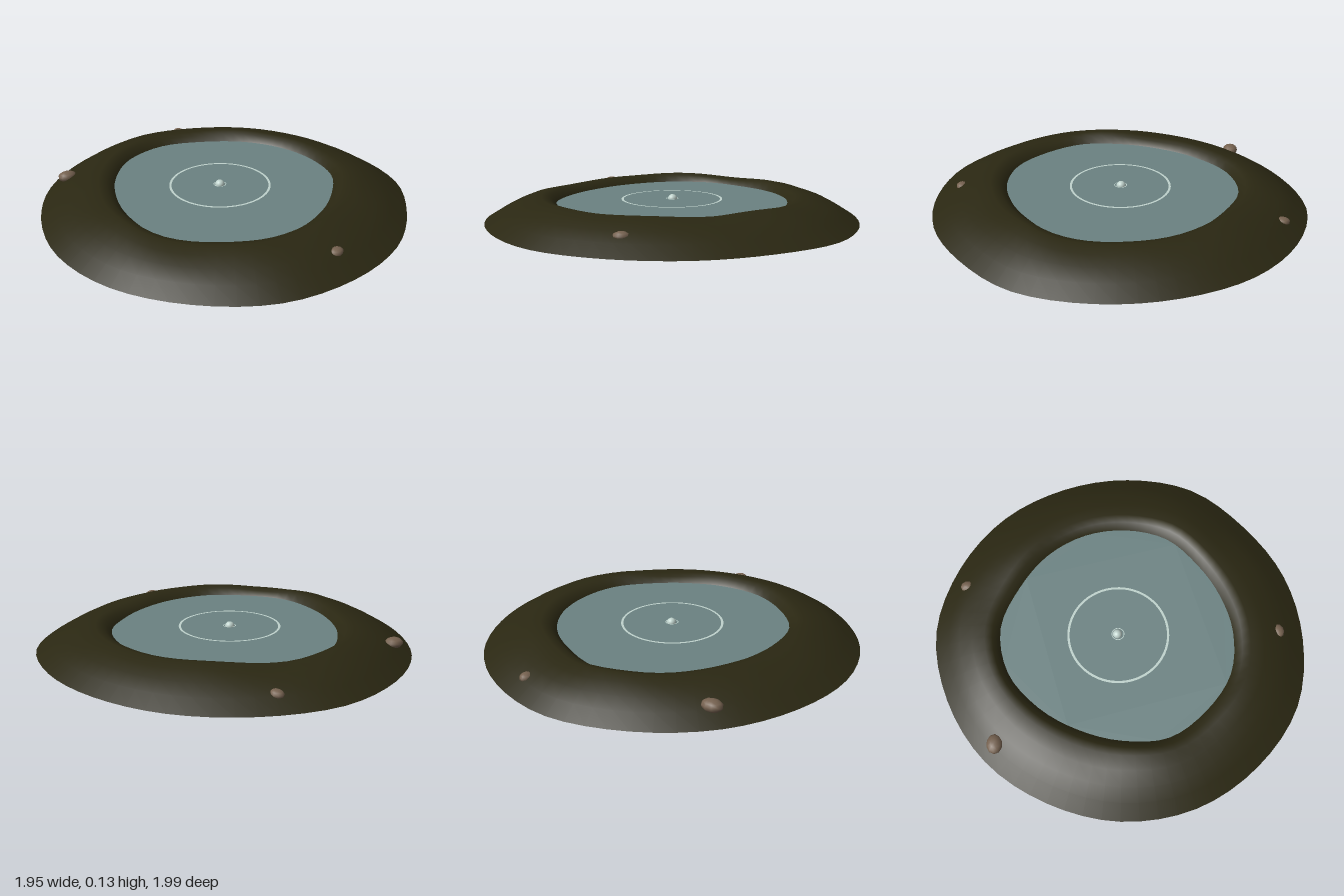
import * as THREE from 'three';

const SEG = 64;

function mat(name, color, side = THREE.FrontSide) {
  const m = new THREE.MeshStandardMaterial({ color, side });
  m.name = name;
  return m;
}

// Smooth closed outline from radii at equal angles, from +x towards +z
function outline(radii) {
  const pts = radii.map((r, i) => {
    const a = (i / radii.length) * Math.PI * 2;
    return new THREE.Vector3(r * Math.cos(a), 0, r * Math.sin(a));
  });
  const curve = new THREE.CatmullRomCurve3(pts, true, 'catmullrom', 0.5);
  return Array.from({ length: SEG }, (_, i) => curve.getPoint(i / SEG));
}

const shore = outline([0.585, 0.552, 0.552, 0.577, 0.605, 0.608, 0.622, 0.595,
  0.588, 0.612, 0.652, 0.658, 0.617, 0.607, 0.6, 0.592]);
const rim = outline([0.975, 0.945, 0.953, 0.965, 0.99, 0.985, 0.99, 0.985,
  0.977, 0.99, 1.0, 1.02, 1.0, 0.985, 0.965, 0.965]);

// Bank cross-section: [fraction from shore to rim, height]
const PROFILE = [[-0.08, 0.035], [0, 0.085], [0.1, 0.115], [0.21, 0.125], [0.4, 0.109], [0.6, 0.085], [0.78, 0.05], [1, 0]];

function bankGeometry() {
  const pos = [], idx = [];
  PROFILE.forEach(([t, h]) => {
    for (let i = 0; i < SEG; i++) {
      const a = (i / SEG) * Math.PI * 2;
      const bump = t > 0.05 && t < 0.5 ? 0.004 * Math.sin(5 * a + 1) + 0.003 * Math.sin(8 * a) : 0;
      const p = shore[i].clone().lerp(rim[i], t);
      pos.push(p.x, h + bump, p.z);
    }
  });
  for (let j = 0; j < PROFILE.length - 1; j++) {
    for (let i = 0; i < SEG; i++) {
      const k = (i + 1) % SEG;
      const a = j * SEG + i, b = j * SEG + k, c = a + SEG, d = b + SEG;
      idx.push(a, b, c, b, d, c);
    }
  }
  const g = new THREE.BufferGeometry();
  g.setAttribute('position', new THREE.Float32BufferAttribute(pos, 3));
  g.setIndex(idx);
  g.computeVertexNormals();
  return g;
}

// Flat sheet in the shape of the shore
function sheet(scale) {
  const shape = new THREE.Shape(shore.map(p => new THREE.Vector2(p.x * scale, -p.z * scale)));
  return new THREE.ShapeGeometry(shape).rotateX(-Math.PI / 2);
}

export function createModel() {
  const group = new THREE.Group();
  const earth = mat('dark earth', 0x2a2712, THREE.DoubleSide);
  const water = mat('water', 0x6b8282, THREE.DoubleSide);
  const mud = mat('mud', 0x4d3f34, THREE.DoubleSide);
  const stone = mat('stone', 0x75614f);
  const foam = mat('pale ripple', 0xbfd2cc, THREE.DoubleSide);

  const add = (name, geometry, material, x = 0, y = 0, z = 0) => {
    const m = new THREE.Mesh(geometry, material);
    m.name = name;
    m.position.set(x, y, z);
    group.add(m);
    return m;
  };

  add('bank', bankGeometry(), earth);
  add('waterSurface', sheet(1.0), water, 0, 0.085, 0);
  add('pondBed', sheet(1.02), mud, 0, 0.003, 0);

  // Ripple and bubble on the water
  const ring = (r, w) => new THREE.RingGeometry(r - w, r, 64).rotateX(-Math.PI / 2);
  add('ripple', ring(0.27, 0.012), foam, -0.035, 0.089, -0.02);
  add('bubbleRipple', ring(0.034, 0.004), foam, -0.035, 0.089, -0.022);
  add('bubble', new THREE.SphereGeometry(0.025, 20, 12), foam, -0.035, 0.086, -0.025);

  // Stones half buried in the bank: x, y, z, size
  [[-0.82, 0.066, -0.36, 0.052], [-0.1, 0.052, -0.89, 0.04], [0.33, 0.068, 0.75, 0.04],
    [0.53, 0.05, -0.53, 0.045], [0.52, 0.05, -0.62, 0.042], [-0.6, 0.06, -0.42, 0.048],
    [-0.65, 0.05, -0.3, 0.042], [-0.72, 0.05, 0.21, 0.042],
    [0.05, 0.06, 0.66, 0.04], [-0.07, 0.055, 0.78, 0.04],
  ].forEach(([x, y, z, s], i) => {
    const m = add('stone', new THREE.SphereGeometry(s, 10, 7), stone, x, y, z);
    m.scale.set(1, 0.55, 0.8);
    m.rotation.y = i * 1.7 + 0.4;
  });

  return group;
}
